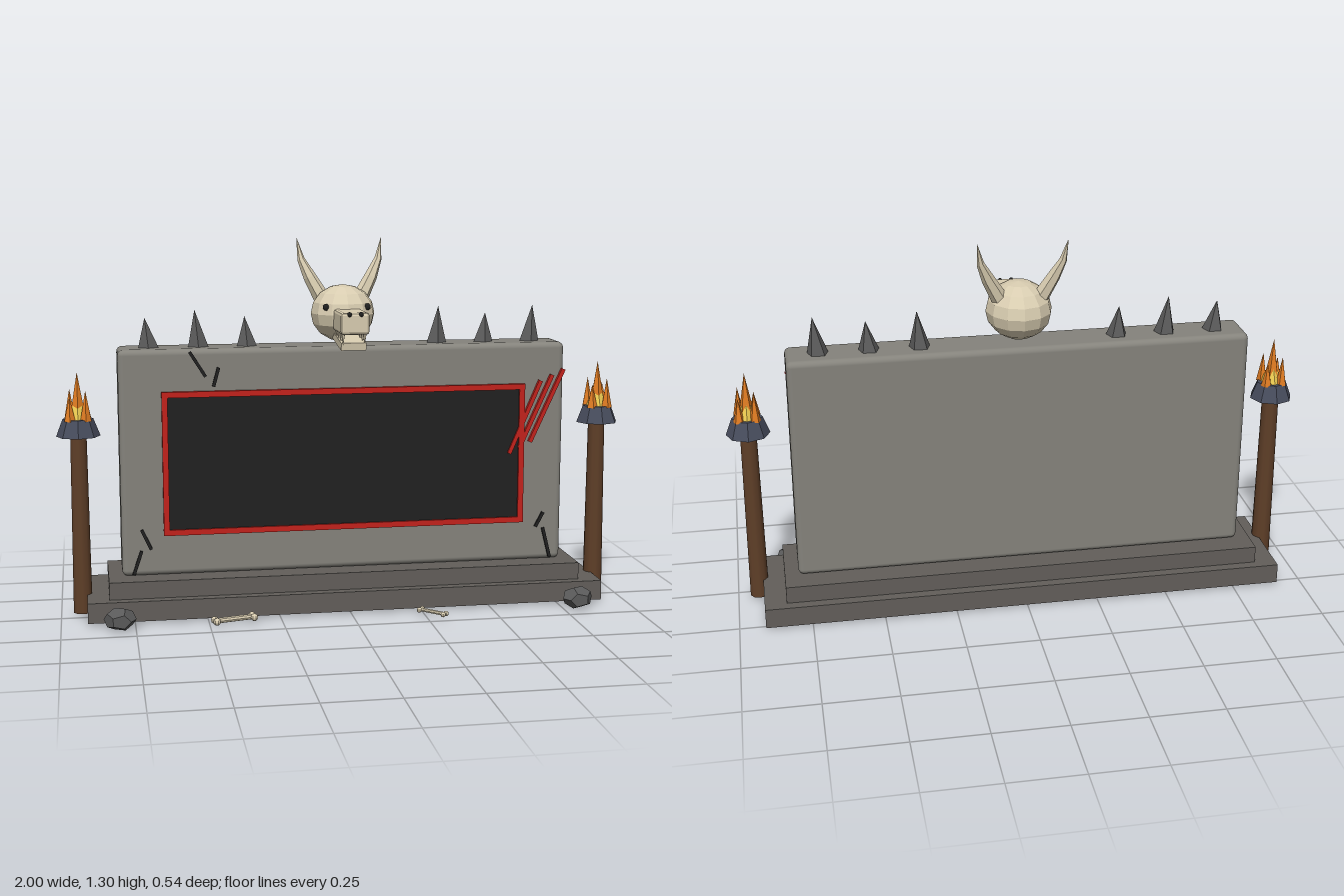
import * as THREE from 'three';
import { RoundedBoxGeometry } from 'three/addons/geometries/RoundedBoxGeometry.js';

const mat = (name, color, flat = false) => {
  const m = new THREE.MeshStandardMaterial({ color, flatShading: flat });
  m.name = name;
  return m;
};

export function createModel() {
  const stone = mat('stone', 0x85837c);
  const baseStone = mat('baseStone', 0x625e5a);
  const darkRock = mat('darkRock', 0x5a5a5a, true);
  const wood = mat('wood', 0x5f3f28);
  const iron = mat('iron', 0x474c5c, true);
  const red = mat('red', 0xc4221c);
  const black = mat('black', 0x202020);
  const bone = mat('bone', 0xd8ccb0, true);
  const orange = mat('flameOrange', 0xe07c22, true);
  const yellow = mat('flameYellow', 0xe8c850, true);

  const root = new THREE.Group();
  root.name = 'stoneBillboard';
  const group = (name, parent = root) => {
    const g = new THREE.Group();
    g.name = name;
    parent.add(g);
    return g;
  };
  const add = (name, geo, material, x, y, z, parent = root) => {
    const m = new THREE.Mesh(geo, material);
    m.name = name;
    m.position.set(x, y, z);
    parent.add(m);
    return m;
  };
  const box = (w, h, d) => new THREE.BoxGeometry(w, h, d);
  const cone = (r, h, n) => new THREE.ConeGeometry(r, h, n);

  // Stepped plinth and main slab
  add('lowerStep', box(1.82, 0.07, 0.385), baseStone, 0, 0.045, -0.083);
  add('upperStep', box(1.67, 0.06, 0.315), baseStone, 0, 0.11, -0.083);
  add('slab', new RoundedBoxGeometry(1.575, 0.79, 0.165, 3, 0.02), stone, 0, 0.535, -0.083);

  // Dark board with a red frame
  add('board', box(1.25, 0.47, 0.012), black, 0, 0.534, 0.001);
  for (const s of [-1, 1]) {
    add('frameRail', box(1.285, 0.02, 0.02), red, 0, 0.534 + s * 0.241, 0.004);
    add('frameStile', box(0.02, 0.462, 0.02), red, s * 0.632, 0.534, 0.004);
  }

  // Thin bars laid on the slab between two points
  const bar = (name, [x1, y1, x2, y2], w, d, z, material) => {
    const m = add(name, box(Math.hypot(x2 - x1, y2 - y1), w, d), material, (x1 + x2) / 2, (y1 + y2) / 2, z);
    m.rotation.z = Math.atan2(y2 - y1, x2 - x1);
  };
  [[0.588, 0.535, 0.7, 0.795], [0.625, 0.555, 0.742, 0.815], [0.664, 0.575, 0.783, 0.835]]
    .forEach((p) => bar('clawMark', p, 0.014, 0.014, 0.007, red));
  [[-0.543, 0.92, -0.49, 0.835], [-0.445, 0.865, -0.463, 0.8], [-0.718, 0.305, -0.687, 0.235],
    [-0.72, 0.23, -0.748, 0.147], [0.72, 0.315, 0.692, 0.262], [0.72, 0.257, 0.747, 0.15]]
    .forEach((p) => bar('crack', p, 0.011, 0.008, 0.003, black));

  // Spikes along the top edge
  [[-0.685, 0.11, 0.1], [-0.513, 0.135, 0.08], [-0.342, 0.11, 0.06],
    [0.342, 0.135, -0.06], [0.513, 0.11, -0.08], [0.685, 0.135, -0.1]].forEach(([x, h, tilt]) => {
    const m = add('spike', cone(0.039, h, 5), darkRock, x, 0.922 + h / 2, -0.087);
    m.rotation.z = tilt;
  });

  // Torches
  for (const s of [-1, 1]) {
    const torch = group(s > 0 ? 'leftTorch' : 'rightTorch');
    torch.position.set(s * 0.925, 0, -0.036);
    add('torchPole', new THREE.CylinderGeometry(0.029, 0.034, 0.63, 10), wood, 0, 0.328, 0, torch);
    add('torchCup', new THREE.CylinderGeometry(0.052, 0.075, 0.06, 8), iron, 0, 0.665, 0, torch);
    add('flameCore', cone(0.042, 0.09, 6), yellow, 0, 0.735, 0, torch);
    add('flameCentre', cone(0.03, 0.165, 5), orange, 0, 0.772, 0, torch);
    for (let i = 0; i < 4; i++) {
      const a = Math.PI / 4 + (i * Math.PI) / 2;
      const h = i % 2 ? 0.085 : 0.105;
      add('flameTongue', cone(0.02, h, 5), orange, 0.038 * Math.cos(a), 0.69 + h / 2, 0.038 * Math.sin(a), torch);
    }
  }

  // Horned skull
  const skull = group('skull');
  const cranium = add('cranium', new THREE.SphereGeometry(1, 12, 8), bone, 0, 1.04, -0.077, skull);
  cranium.scale.set(0.113, 0.1, 0.125);
  add('snout', new RoundedBoxGeometry(0.098, 0.074, 0.185, 1, 0.01), bone, 0, 1.025, 0.092, skull);
  const jaw = add('jaw', box(0.086, 0.026, 0.19), bone, 0, 0.957, 0.055, skull);
  jaw.rotation.x = 0.13;

  // Horn built from rings along a bent spine
  const hornGeometry = (s) => {
    const rings = [[0.066, 1.085, -0.108, 0.031], [0.11, 1.165, -0.124, 0.024],
      [0.138, 1.225, -0.14, 0.014], [0.151, 1.297, -0.156, 0.001]];
    const n = 6, pos = [], idx = [];
    rings.forEach(([x, y, z, r]) => {
      for (let i = 0; i < n; i++) {
        const a = (i / n) * Math.PI * 2;
        pos.push(s * (x + r * 0.85 * Math.cos(a)), y - r * 0.4 * Math.cos(a), z + r * Math.sin(a));
      }
    });
    for (let k = 0; k < rings.length - 1; k++) {
      for (let i = 0; i < n; i++) {
        const a = k * n + i, b = k * n + ((i + 1) % n), c = a + n, d = b + n;
        if (s > 0) idx.push(a, c, b, b, c, d);
        else idx.push(a, b, c, b, d, c);
      }
    }
    const g = new THREE.BufferGeometry();
    g.setAttribute('position', new THREE.Float32BufferAttribute(pos, 3));
    g.setIndex(idx);
    g.computeVertexNormals();
    return g;
  };
  for (const s of [-1, 1]) {
    add('horn', hornGeometry(s), bone, 0, 0, 0, skull);
    const eye = add('eye', new THREE.SphereGeometry(0.012, 8, 6), black, s * 0.072, 1.067, 0.009, skull);
    eye.scale.set(1, 1, 0.6);
    add('nostril', new THREE.SphereGeometry(0.009, 8, 6), black, s * 0.02, 1.056, 0.18, skull);
    [0.152, 0.113, 0.072, 0.036].forEach((z) => {
      const tooth = add('tooth', cone(0.008, 0.042, 5), bone, s * 0.037, 0.971, z, skull);
      tooth.rotation.x = Math.PI;
    });
  }

  // Rocks beside the plinth
  for (const s of [-1, 1]) {
    const rock = add('rock', new THREE.DodecahedronGeometry(0.056), darkRock, s * 0.803, 0.039, 0.168);
    rock.scale.set(1, 0.72, 0.95);
    rock.rotation.y = s * 0.5;
  }

  // Bones on the ground: shaft with two knobs at each end
  [[-0.417, 0.18, 0.135, 0.25], [0.267, 0.212, 0.098, -0.8]].forEach(([x, z, length, turn]) => {
    const g = group('looseBone');
    g.position.set(x, 0.025, z);
    g.rotation.y = turn;
    const r = length * 0.095;
    const shaft = add('boneShaft', new THREE.CylinderGeometry(r * 0.75, r * 0.75, length, 8), bone, 0, 0, 0, g);
    shaft.rotation.z = Math.PI / 2;
    for (const s of [-1, 1]) for (const t of [-1, 1]) {
      add('boneKnob', new THREE.SphereGeometry(r, 8, 6), bone, (s * length) / 2, 0, t * r, g);
    }
  });

  return root;
}
